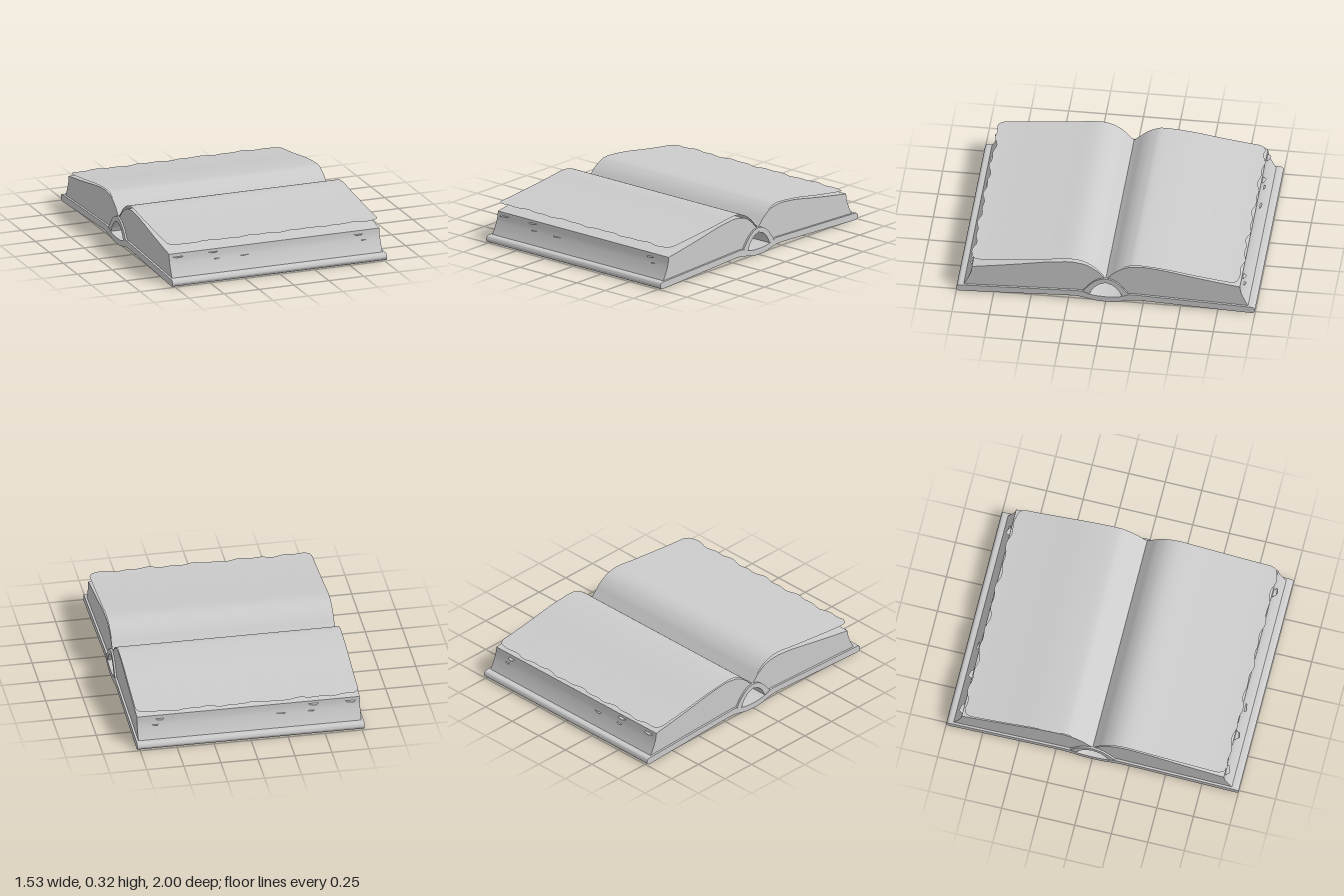
import * as THREE from 'three';
import { toCreasedNormals } from 'three/addons/utils/BufferGeometryUtils.js';

const material = new THREE.MeshStandardMaterial({ color: 0xcccccc });
const paper = new THREE.MeshStandardMaterial({ color: 0xcccccc, side: THREE.DoubleSide });

// Smooth curve through (z, y) points
const smooth = (pts, n = 24) =>
  new THREE.SplineCurve(pts.map(([z, y]) => new THREE.Vector2(z, y))).getPoints(n);
const flip = (pts) => pts.map((p) => new THREE.Vector2(-p.x, p.y)).reverse();

// Extrude a closed (z, y) outline along x, centred on x = 0
function slab(name, outline, width) {
  const geo = new THREE.ExtrudeGeometry(new THREE.Shape(outline), { depth: width, bevelEnabled: false });
  geo.translate(0, 0, -width / 2).rotateY(-Math.PI / 2);
  const mesh = new THREE.Mesh(toCreasedNormals(geo, 0.7), material);
  mesh.name = name;
  return mesh;
}

// Two boards with rounded outer edges, joined by a sagging spine
function cover() {
  const under = smooth([[0, 0.003], [0.06, 0.006], [0.13, 0.021], [0.19, 0.032], [0.26, 0.032]], 16);
  const edge = [];
  for (let i = 0; i <= 10; i++) {
    const a = -Math.PI / 2 + (Math.PI * i) / 10;
    edge.push(new THREE.Vector2(0.976 + 0.024 * Math.cos(a), 0.025 + 0.024 * Math.sin(a)));
  }
  const over = smooth([[0.2, 0.076], [0.16, 0.074], [0.11, 0.056], [0.06, 0.046], [0, 0.043]], 16);
  const half = [...under, ...edge, ...over];
  return slab('cover', [...half, ...flip(half).slice(1, -1)], 1.535);
}

// Curved lining that arches over the hollow behind the pages
function spineLining() {
  const outer = smooth([[0.165, 0.06], [0.145, 0.085], [0.1, 0.14], [0.05, 0.178], [0, 0.19]], 16);
  const inner = smooth([[0, 0.157], [0.05, 0.137], [0.09, 0.094], [0.11, 0.05]], 16);
  const left = flip(outer), leftInner = flip(inner);
  return slab('spineLining', [...outer, ...left.slice(1), ...leftInner, ...inner.slice(1)], 1.53);
}

// One half of the pages, with a hollow fore-edge
function pageBlock(name) {
  const gutter = smooth([[0, 0.186], [0.05, 0.174], [0.1, 0.135], [0.15, 0.07]], 12);
  const fore = smooth([[0.955, 0.045], [0.93, 0.09], [0.905, 0.15], [0.897, 0.2]], 10);
  const top = smooth([[0.897, 0.2], [0.78, 0.218], [0.6, 0.248], [0.41, 0.283], [0.3, 0.297], [0.22, 0.301],
    [0.13, 0.284], [0.06, 0.24], [0.02, 0.2], [0, 0.186]], 48);
  return slab(name, [...gutter, ...fore, ...top.slice(1, -1)], 1.505);
}

// Thin page with rounded corners and a slightly torn outer edge
function looseSheet(name, pts, sign) {
  const nx = 48, nz = 40, length = Math.abs(pts[pts.length - 1][0]);
  const curve = new THREE.SplineCurve(pts.map(([z, y]) => new THREE.Vector2(z, y)));
  const geo = new THREE.PlaneGeometry(2, 1, nx, nz);
  const pos = geo.attributes.position;
  for (let i = 0; i < pos.count; i++) {
    const u = pos.getX(i), t = pos.getY(i) + 0.5;
    const p = curve.getPoint(t);
    const c = Math.max(0, (p.x - length + 0.06) / 0.06);
    const halfWidth = 0.752 - 0.05 * (1 - Math.sqrt(Math.max(0, 1 - c * c)));
    const tear = 0.007 * (Math.sin(u * 13 + sign) + Math.sin(u * 29)) * t ** 8;
    pos.setXYZ(i, u * halfWidth, p.y, sign * (p.x + tear));
  }
  geo.computeVertexNormals();
  const mesh = new THREE.Mesh(geo, paper);
  mesh.name = name;
  return mesh;
}

// Ragged page edges sticking out of the fore-edge
function pageSlivers(sign) {
  const group = new THREE.Group();
  group.name = sign > 0 ? 'frontPageSlivers' : 'backPageSlivers';
  const slivers = [[-0.69, 0.178, 0.09], [-0.44, 0.182, 0.08], [-0.42, 0.137, 0.07],
    [-0.22, 0.137, 0.09], [0.6, 0.176, 0.07], [0.63, 0.138, 0.06]];
  for (const [x, y, w] of slivers) {
    const shape = new THREE.Shape([[-w / 2, 0], [w / 2, 0], [w * 0.3, 0.026], [-w * 0.2, 0.035]]
      .map(([a, b]) => new THREE.Vector2(a, b)));
    const mesh = new THREE.Mesh(new THREE.ShapeGeometry(shape), paper);
    mesh.name = 'pageSliver';
    mesh.rotation.x = (sign * Math.PI) / 2;
    mesh.position.set(x, y, sign * 0.89);
    group.add(mesh);
  }
  return group;
}

export function createModel() {
  const book = new THREE.Group();
  book.name = 'openBook';
  const back = pageBlock('backPages');
  back.rotation.y = Math.PI;
  book.add(cover(), spineLining(), pageBlock('frontPages'), back);
  book.add(looseSheet('frontSheet', [[0, 0.19], [0.03, 0.222], [0.08, 0.272], [0.15, 0.312], [0.24, 0.325],
    [0.4, 0.307], [0.6, 0.286], [0.8, 0.267], [0.9, 0.262]], 1));
  book.add(looseSheet('backSheet', [[0, 0.19], [0.03, 0.216], [0.08, 0.262], [0.14, 0.297], [0.21, 0.312],
    [0.4, 0.296], [0.6, 0.263], [0.8, 0.235], [0.89, 0.225]], -1));
  book.add(pageSlivers(1), pageSlivers(-1));
  return book;
}
